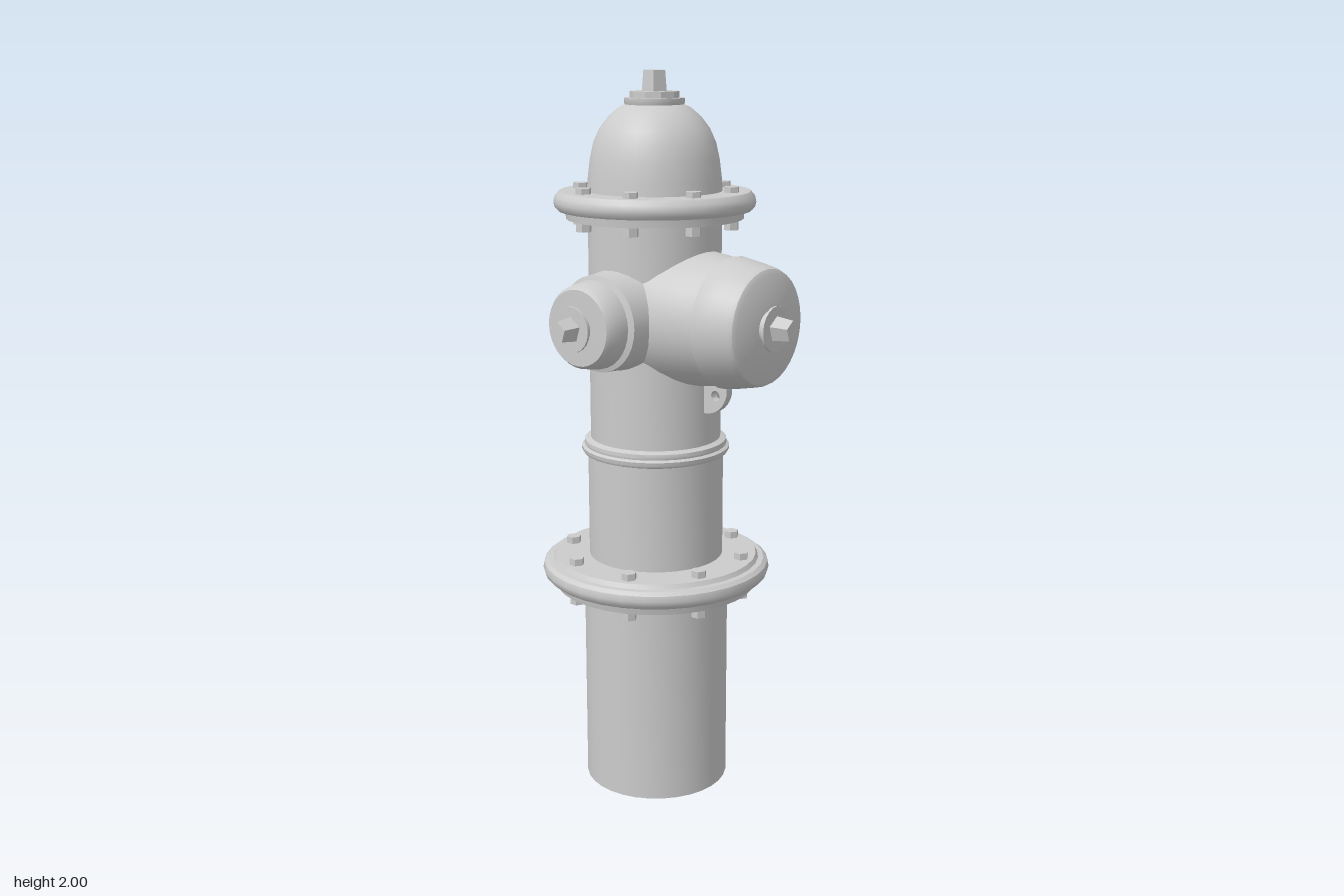
import * as THREE from 'three';
import { toCreasedNormals } from 'three/addons/utils/BufferGeometryUtils.js';

const grey = new THREE.MeshStandardMaterial({ color: 0xcccccc, side: THREE.DoubleSide });

function add(parent, name, geometry) {
  const mesh = new THREE.Mesh(toCreasedNormals(geometry, 0.6), grey);
  mesh.name = name;
  parent.add(mesh);
  return mesh;
}

// Turned solid from [radius, height] pairs, listed bottom to top
function turned(profile, sides = 32) {
  return new THREE.LatheGeometry(profile.map(([r, y]) => new THREE.Vector2(r, y)), sides);
}

// Ring of hexagonal bolt heads above and below a flange
function boltRing(parent, name, radius, size, levels) {
  const ring = new THREE.Group();
  ring.name = name;
  for (const [y, height] of levels) {
    for (let i = 0; i < 8; i++) {
      const a = (i + 0.5) * Math.PI / 4;
      const bolt = add(ring, 'bolt', new THREE.CylinderGeometry(size, size, height, 6));
      bolt.position.set(Math.cos(a) * radius, y, Math.sin(a) * radius);
    }
  }
  parent.add(ring);
}

// Capped outlet pointing along +z, turned to the given heading
function outlet(parent, name, heading, neck, cap, capEnd, tip) {
  const group = new THREE.Group();
  group.name = name;
  const forward = g => g.rotateX(Math.PI / 2);
  add(group, 'neck', forward(turned(neck)));
  add(group, 'cap', forward(turned(cap)));
  const disk = tip - 0.05;
  add(group, 'hub', forward(turned([
    [0.045, capEnd - 0.01], [0.045, disk - 0.007], [0.06, disk - 0.007],
    [0.06, disk], [0, disk]], 20)));
  const nut = new THREE.CylinderGeometry(0.028, 0.034, 0.05, 5).rotateY(Math.PI);
  add(group, 'nut', forward(nut)).position.z = tip - 0.025;
  group.position.y = 1.36;
  group.rotation.y = heading;
  parent.add(group);
}

export function createModel() {
  const model = new THREE.Group();
  model.name = 'hydrant';
  const body = new THREE.Group();
  body.name = 'body';
  body.position.z = -0.065;
  model.add(body);

  // Barrel sections, open at the foot
  add(body, 'lowerBarrel', turned([[0.203, 0], [0.203, 0.61]]));
  add(body, 'middleBarrel', turned([[0.188, 0.66], [0.188, 0.98]]));
  add(body, 'barrelRing', turned([
    [0.188, 0.968], [0.2, 0.972], [0.205, 0.98], [0.205, 0.988], [0.196, 0.993],
    [0.198, 1.0], [0.196, 1.008], [0.18, 1.014]]));
  add(body, 'upperBarrel', turned([[0.18, 1.0], [0.18, 1.64]]));

  // Flanges with rounded rims
  add(body, 'groundFlange', turned([
    [0.2, 0.587], [0.283, 0.587], [0.288, 0.61], [0.305, 0.612], [0.316, 0.622],
    [0.32, 0.637], [0.316, 0.652], [0.305, 0.661], [0.29, 0.662], [0.283, 0.674],
    [0.18, 0.674]]));
  boltRing(body, 'groundFlangeBolts', 0.248, 0.021, [[0.68, 0.026], [0.575, 0.032]]);
  add(body, 'topFlange', turned([
    [0.175, 1.615], [0.238, 1.615], [0.24, 1.636], [0.26, 1.638], [0.268, 1.647],
    [0.271, 1.66], [0.268, 1.675], [0.256, 1.688], [0.17, 1.688]]));
  boltRing(body, 'topFlangeBolts', 0.211, 0.021, [[1.692, 0.022], [1.605, 0.03]]);

  // Bonnet and operating nut
  add(body, 'bonnet', turned([
    [0.182, 1.68], [0.179, 1.72], [0.173, 1.77], [0.163, 1.815], [0.147, 1.85],
    [0.124, 1.88], [0.097, 1.903], [0.07, 1.916], [0, 1.92]]));
  add(body, 'bonnetCollar', turned([
    [0.075, 1.905], [0.081, 1.918], [0.081, 1.929], [0, 1.929]], 24));
  add(body, 'bonnetHub', turned([[0.066, 1.925], [0.066, 1.946], [0, 1.946]], 10));
  const nut = new THREE.CylinderGeometry(0.03, 0.035, 0.06, 5).rotateY(Math.PI / 2);
  add(body, 'operatingNut', nut).position.y = 1.97;

  // One large outlet in front, two small ones at the sides
  outlet(body, 'frontOutlet', 0,
    [[0.192, 0.04], [0.187, 0.1], [0.181, 0.16], [0.174, 0.22], [0.168, 0.253], [0.168, 0.27]],
    [[0.15, 0.259], [0.172, 0.259], [0.175, 0.268], [0.168, 0.31], [0.157, 0.363],
      [0.152, 0.374], [0.14, 0.381], [0, 0.381]], 0.381, 0.455);
  for (const side of [-1, 1]) {
    outlet(body, side > 0 ? 'leftOutlet' : 'rightOutlet', side * Math.PI / 2,
      [[0.172, 0.07], [0.152, 0.11], [0.138, 0.15], [0.131, 0.19], [0.128, 0.238], [0.11, 0.243]],
      [[0.108, 0.236], [0.108, 0.248], [0.117, 0.25], [0.115, 0.27], [0.108, 0.303],
        [0.1, 0.314], [0, 0.314]], 0.314, 0.39);
  }

  // Chain lug under the front outlet, drawn as (z, y) and set upright
  const lug = new THREE.Shape();
  lug.moveTo(0.1, 1.11);
  lug.lineTo(0.12, 1.105);
  lug.quadraticCurveTo(0.175, 1.11, 0.19, 1.165);
  lug.lineTo(0.19, 1.21);
  lug.lineTo(0.1, 1.21);
  lug.closePath();
  const eye = new THREE.Path();
  eye.absarc(0.152, 1.158, 0.014, 0, Math.PI * 2, true);
  lug.holes.push(eye);
  const lugGeometry = new THREE.ExtrudeGeometry(lug, { depth: 0.024, bevelEnabled: false, curveSegments: 8 });
  add(model, 'chainLug', lugGeometry.translate(0, 0, -0.012).rotateY(-Math.PI / 2));

  return model;
}
